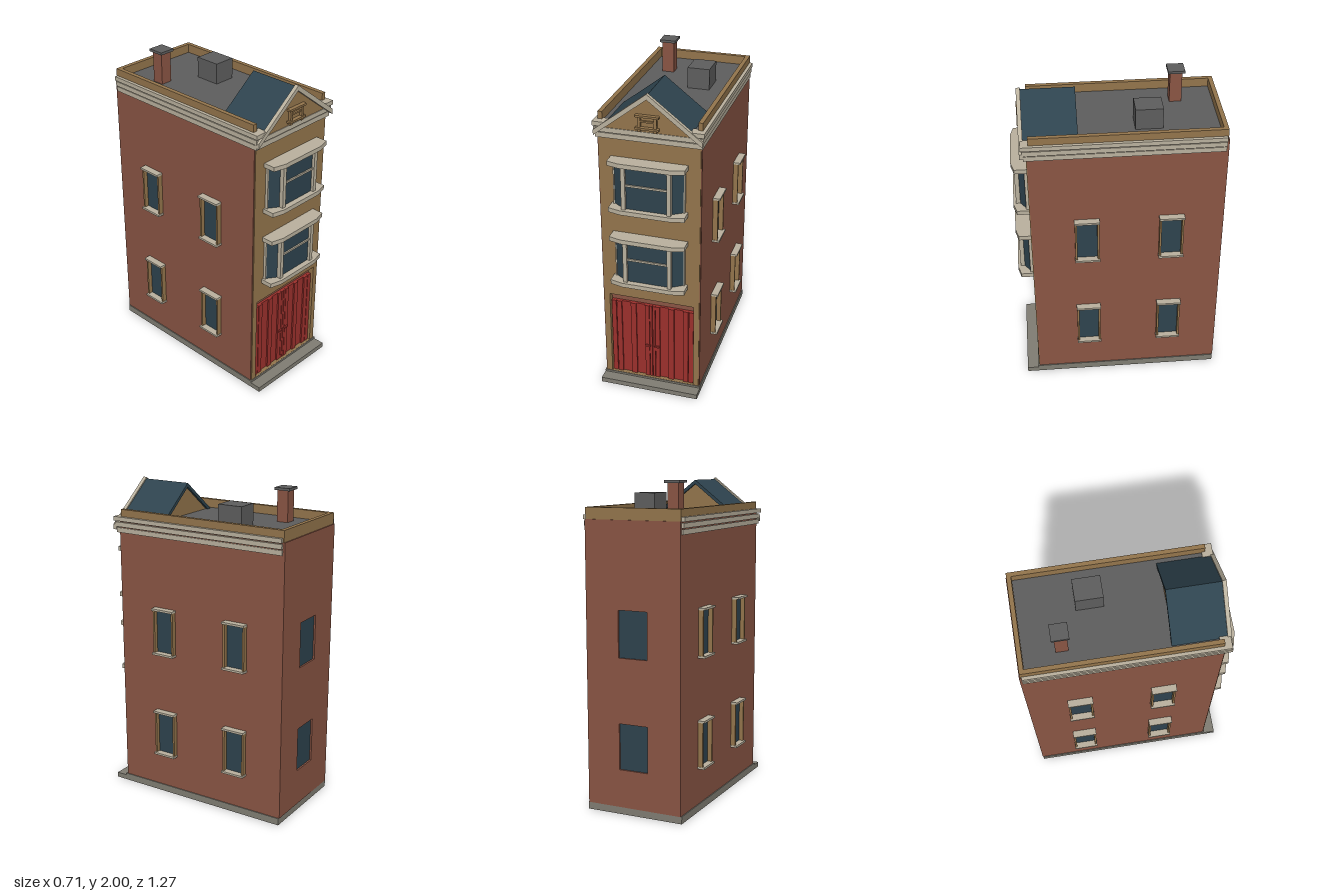
import * as THREE from 'three';

const mat = (name, color, extra = {}) => {
  const m = new THREE.MeshStandardMaterial({ color, ...extra });
  m.name = name;
  return m;
};

export function createModel() {
  const root = new THREE.Group();
  root.name = 'townhouse';
  const brick = mat('brick', 0x8a5544), tan = mat('tan stone', 0x94754c), cream = mat('cream trim', 0xbab19e);
  const slate = mat('slate glass', 0x2e434e), red = mat('red door', 0x9c302c);
  const grey = mat('roof grey', 0x5e5e5e), stone = mat('base stone', 0x807d73);

  // box given by its min and max corners
  const box = (name, m, x0, x1, y0, y1, z0, z1, parent = root) => {
    const mesh = new THREE.Mesh(new THREE.BoxGeometry(x1 - x0, y1 - y0, z1 - z0), m);
    mesh.position.set((x0 + x1) / 2, (y0 + y1) / 2, (z0 + z1) / 2);
    mesh.name = name;
    parent.add(mesh);
    return mesh;
  };
  // the same box on both sides of x = 0
  const pair = (name, m, x0, x1, y0, y1, z0, z1, parent = root) => {
    box(name + 'Left', m, x0, x1, y0, y1, z0, z1, parent);
    box(name + 'Right', m, -x1, -x0, y0, y1, z0, z1, parent);
  };
  const shapeOf = (pts) => new THREE.Shape(pts.map(([x, y]) => new THREE.Vector2(x, y)));
  const rect = (x0, x1, y0, y1) => [[x0, y0], [x1, y0], [x1, y1], [x0, y1]];
  // outline in x,y with optional holes, extruded from z0 to z1
  const plate = (name, m, pts, holes, z0, z1) => {
    const s = shapeOf(pts);
    holes.forEach((h) => s.holes.push(new THREE.Path(h.map(([x, y]) => new THREE.Vector2(x, y)))));
    const mesh = new THREE.Mesh(new THREE.ExtrudeGeometry(s, { depth: z1 - z0, bevelEnabled: false }), m);
    mesh.position.z = z0;
    mesh.name = name;
    root.add(mesh);
  };
  // plan outline in x,z, extruded from y0 to y1
  const slab = (name, m, pts, y0, y1, parent) => {
    const g = new THREE.ExtrudeGeometry(shapeOf(pts.map(([x, z]) => [x, -z])), { depth: y1 - y0, bevelEnabled: false });
    g.rotateX(-Math.PI / 2);
    const mesh = new THREE.Mesh(g, m);
    mesh.position.y = y0;
    mesh.name = name;
    parent.add(mesh);
  };

  // base and walls
  box('base', stone, -0.317, 0.317, 0, 0.045, -0.63, 0.545);
  box('frontStep', stone, -0.317, 0.317, 0, 0.032, 0.545, 0.617);
  box('brickBody', brick, -0.311, 0.311, 0.045, 1.775, -0.615, 0.5);
  pair('frontBrickEdge', brick, 0.305, 0.311, 0.045, 1.775, 0.5, 0.535);
  plate('frontFacade', tan, rect(-0.305, 0.305, 0.045, 1.775), [rect(-0.27, 0.27, 0.046, 0.635)], 0.5, 0.54);

  // back wall with recessed windows
  const rows = [[0.28, 0.565], [0.965, 1.25]];
  plate('backWall', brick, rect(-0.311, 0.311, 0.045, 1.775), rows.map(([a, b]) => rect(-0.095, 0.095, a, b)), -0.634, -0.615);
  rows.forEach(([a, b]) => box('backWindow', slate, -0.095, 0.095, a, b, -0.623, -0.614));

  // side windows: glass, jambs, sill and head
  for (const [a, b] of rows) for (const z of [0.2, -0.315]) {
    pair('sideGlass', slate, 0.308, 0.314, a, b, z - 0.066, z + 0.066);
    for (const s of [-1, 1]) {
      const c = z + s * 0.068;
      pair('sideJamb', tan, 0.308, 0.342, a, b, c - 0.006, c + 0.006);
    }
    for (const y of [a - 0.004, b]) pair('sideSill', cream, 0.308, 0.355, y - 0.006, y + 0.007, z - 0.077, z + 0.077);
  }

  // garage doors with raised planks and handles
  box('garageDoors', red, -0.265, 0.265, 0.045, 0.58, 0.5, 0.515);
  for (const [a, b] of [[0.002, 0.017], [0.02, 0.048], [0.105, 0.14], [0.2, 0.232], [0.236, 0.265]])
    pair('doorPlank', red, a, b, 0.046, 0.58, 0.515, 0.525);
  pair('doorHandle', red, 0.012, 0.045, 0.277, 0.288, 0.525, 0.535);

  // canted bay windows
  const bay = (y) => {
    const g = new THREE.Group();
    g.name = 'bayWindow';
    g.position.y = y;
    root.add(g);
    slab('bayGlass', slate, [[-0.213, 0.535], [-0.213, 0.55], [-0.138, 0.6], [0.138, 0.6], [0.213, 0.55], [0.213, 0.535]], 0.02, 0.31, g);
    const ledge = [[-0.232, 0.535], [-0.232, 0.615], [-0.155, 0.635], [0.155, 0.635], [0.232, 0.615], [0.232, 0.535]];
    slab('bayLedge', cream, ledge, 0, 0.028, g);
    slab('bayHead', cream, ledge, 0.3, 0.328, g);
    pair('bayPost', cream, 0.125, 0.15, 0.028, 0.3, 0.59, 0.618, g);
    pair('bayWallPost', cream, 0.21, 0.217, 0.028, 0.3, 0.535, 0.558, g);
    box('bayRail', cream, -0.125, 0.125, 0.175, 0.187, 0.595, 0.609, g);
  };
  [0.762, 1.257].forEach(bay);

  // cornice bands on front and sides
  [[1.7, 1.73, 0.318, 0.555], [1.737, 1.766, 0.324, 0.562], [1.774, 1.8, 0.33, 0.57]].forEach(([a, b, x, z], i) => {
    pair('sideCornice', cream, 0.3, x, a, b, -0.62, z);
    if (i < 2) box('frontCornice', cream, -0.3, 0.3, a, b, 0.52, z);
    else pair('corniceReturn', cream, 0.25, 0.3, a, b, 0.505, z);
  });

  // flat roof and parapet
  box('flatRoof', grey, -0.3, 0.3, 1.77, 1.79, -0.61, 0.52);
  pair('parapetSide', tan, 0.283, 0.31, 1.775, 1.845, -0.627, 0.525);
  box('parapetBack', tan, -0.283, 0.283, 1.775, 1.845, -0.627, -0.6);

  // front gable with pitched roof
  const k = 0.775;
  const chevron = (top, t, w) => [[0, top], [-w, top - w * k], [-w, top - w * k - t], [0, top - t], [w, top - w * k - t], [w, top - w * k]];
  plate('gableWall', tan, [[-0.28, 1.755], [0.28, 1.755], [0, 1.97]], [], 0.52, 0.558);
  plate('gableBack', tan, [[-0.26, 1.775], [0.26, 1.775], [0, 1.97]], [], 0.25, 0.27);
  plate('gableRoof', slate, chevron(1.99, 0.025, 0.284), [], 0.235, 0.555);
  plate('gableTrim', cream, chevron(2.0, 0.033, 0.322), [], 0.553, 0.577);

  // small frame on the gable
  box('gableFrameHead', tan, -0.07, 0.07, 1.86, 1.872, 0.555, 0.583);
  box('gableFrameSill', tan, -0.07, 0.07, 1.786, 1.798, 0.555, 0.583);
  pair('gableFramePost', tan, 0.04, 0.056, 1.77, 1.86, 0.555, 0.575);
  box('gableFrameRail', tan, -0.04, 0.04, 1.826, 1.836, 0.555, 0.57);

  // chimney and roof unit
  box('chimney', brick, -0.193, -0.119, 1.785, 1.985, -0.412, -0.338);
  box('chimneyCap', grey, -0.206, -0.106, 1.984, 2.0, -0.427, -0.325);
  box('roofUnit', grey, 0.04, 0.177, 1.785, 1.92, -0.265, -0.102);

  return root;
}
